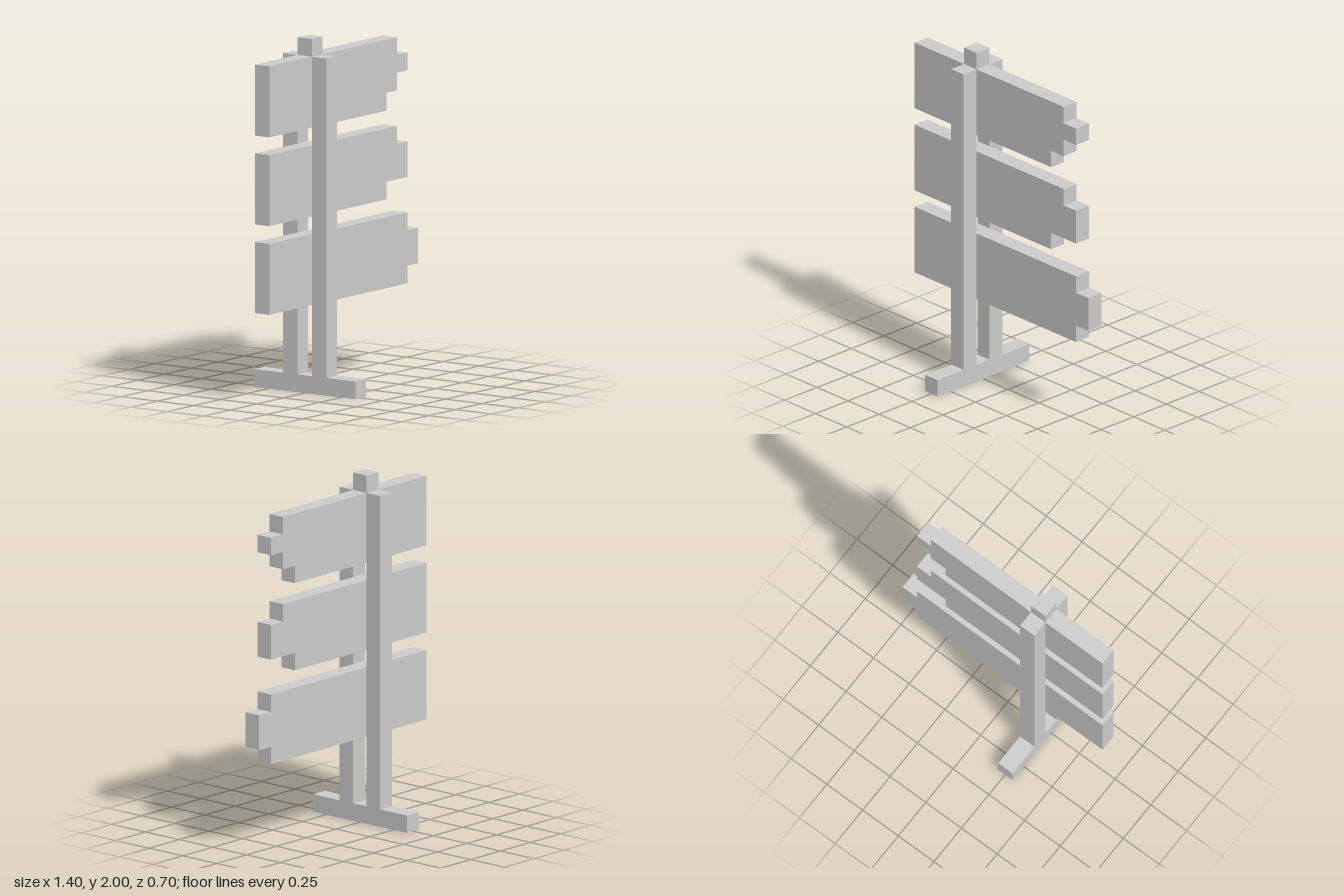
import * as THREE from 'three';

const POST_X = -0.25;
const STEP = 0.1; // height of one step in the stepped board ends
const BOARD_LEFT = -0.7;

export function createModel() {
  const group = new THREE.Group();
  const material = new THREE.MeshStandardMaterial({ color: 0xcccccc, flatShading: true });

  const add = (name, geometry, x, y, z) => {
    const mesh = new THREE.Mesh(geometry, material);
    mesh.name = name;
    mesh.position.set(x, y, z);
    group.add(mesh);
  };

  // Foot beam running front to back, with the cap block between the post tops
  add('foot', new THREE.BoxGeometry(0.1, 0.1, 0.7), POST_X, 0.05, 0);
  add('cap', new THREE.BoxGeometry(0.1, 0.1, 0.1), POST_X, 1.95, 0);

  // Twin posts that sandwich the boards
  for (const [name, side] of [['frontPost', 1], ['backPost', -1]]) {
    add(name, new THREE.BoxGeometry(0.1, 1.8, 0.1), POST_X, 1.0, side * 0.1);
  }

  // Board with a stepped right end: one end position per step, bottom to top
  const boardGeometry = (ends) => {
    const shape = new THREE.Shape();
    shape.moveTo(BOARD_LEFT, 0);
    shape.lineTo(ends[0], 0);
    ends.forEach((x, i) => {
      if (i > 0 && x !== ends[i - 1]) {
        shape.lineTo(ends[i - 1], i * STEP);
        shape.lineTo(x, i * STEP);
      }
    });
    shape.lineTo(ends[ends.length - 1], ends.length * STEP);
    shape.lineTo(BOARD_LEFT, ends.length * STEP);
    shape.closePath();
    return new THREE.ExtrudeGeometry(shape, { depth: 0.1, bevelEnabled: false });
  };

  // Three sign boards
  const boards = [
    ['lowerBoard', 0.5, [0.6, 0.7, 0.7, 0.6]],
    ['middleBoard', 1.0, [0.4, 0.6, 0.6, 0.5]],
    ['upperBoard', 1.5, [0.4, 0.5, 0.6, 0.5]],
  ];
  for (const [name, y, ends] of boards) add(name, boardGeometry(ends), 0, y, -0.05);

  return group;
}
